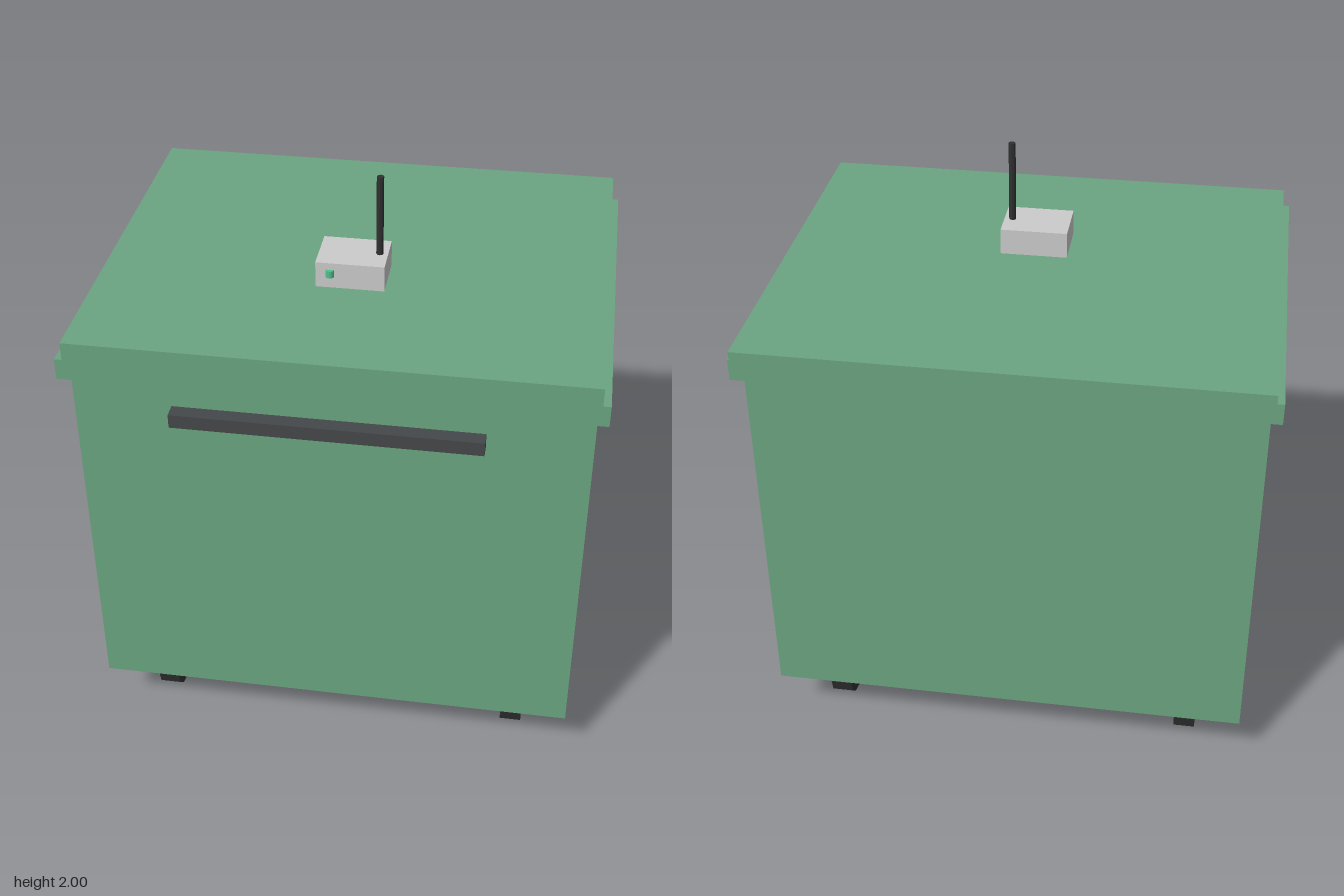
import * as THREE from 'three';

const mat = (color) => new THREE.MeshStandardMaterial({ color, flatShading: true });

export function createModel() {
  const model = new THREE.Group();
  model.name = 'wheeledBin';
  const green = mat(0x6ba581), black = mat(0x303030), dark = mat(0x45484a);
  const grey = mat(0xcccccc), lamp = mat(0x4fc08d);

  const add = (name, geometry, material, x, y, z) => {
    const mesh = new THREE.Mesh(geometry, material);
    mesh.name = name;
    mesh.position.set(x, y, z);
    model.add(mesh);
    return mesh;
  };
  // Box given by its minimum and maximum along each axis
  const box = (name, material, [x0, x1], [y0, y1], [z0, z1]) =>
    add(name, new THREE.BoxGeometry(x1 - x0, y1 - y0, z1 - z0), material,
      (x0 + x1) / 2, (y0 + y1) / 2, (z0 + z1) / 2);

  // Container, rim and lid (the lid overhangs at the back)
  box('body', green, [-0.83, 0.83], [0.195, 1.495], [-0.638, 0.638]);
  box('rim', green, [-0.865, 0.865], [1.495, 1.568], [-0.675, 0.675]);
  box('lid', green, [-0.84, 0.84], [1.568, 1.63], [-0.725, 0.675]);

  // Push bar in front of the body
  box('handle', dark, [-0.497, 0.497], [1.38, 1.428], [0.675, 0.725]);

  // Sensor unit with its status light and antenna
  box('sensorBox', grey, [-0.114, 0.114], [1.63, 1.72], [0.036, 0.214]);
  add('statusLight', new THREE.CylinderGeometry(0.015, 0.015, 0.025, 12), lamp, -0.066, 1.683, 0.212);
  add('antenna', new THREE.CylinderGeometry(0.012, 0.012, 0.28, 8), black, 0.086, 1.86, 0.125);

  // Four wheels, axles along x
  const wheel = new THREE.CylinderGeometry(0.0975, 0.0975, 0.075, 12).rotateZ(Math.PI / 2);
  for (const x of [-0.636, 0.636]) {
    for (const z of [-0.445, 0.445]) add('wheel', wheel, black, x, 0.0975, z);
  }
  return model;
}
